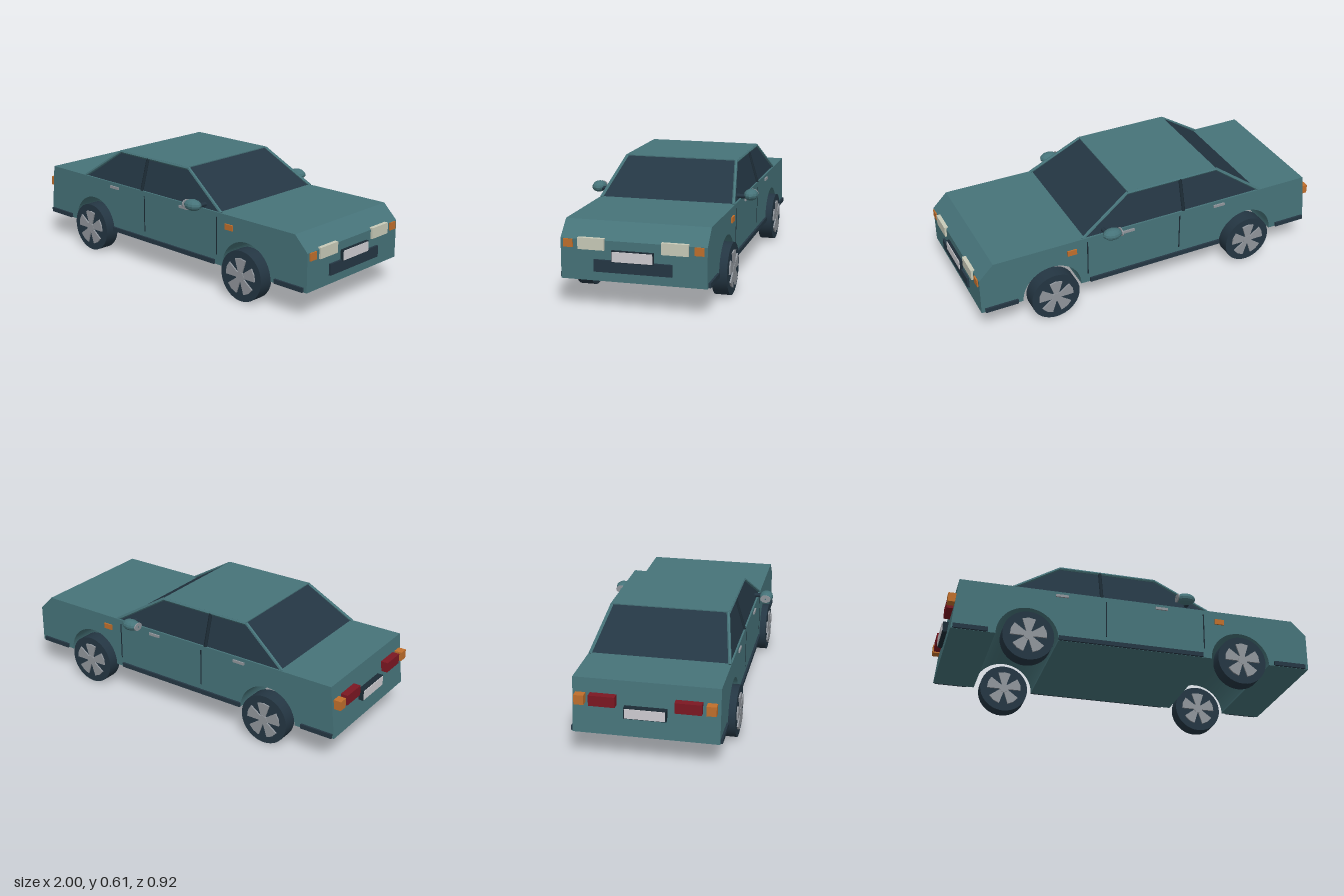
import * as THREE from 'three';

const mat = (name, color, extra = {}) => {
  const m = new THREE.MeshStandardMaterial({ color, ...extra });
  m.name = name;
  return m;
};

export function createModel() {
  const car = new THREE.Group();
  car.name = 'car';
  const paint = mat('teal paint', 0x467379, { flatShading: true });
  const dark = mat('dark glass and rubber', 0x243643);
  const seam = mat('dark seam', 0x1c2b35);
  const alloy = mat('alloy', 0x90959b);
  const amber = mat('amber', 0xc06f2c);
  const lamp = mat('headlight', 0xc8cab8);
  const plateWhite = mat('plate white', 0xcfcdd2);
  const red = mat('tail red', 0x7c1722);

  const add = (name, geo, material, parent = car) => {
    const m = new THREE.Mesh(geo, material);
    m.name = name;
    parent.add(m);
    return m;
  };
  // box given by its limits on each axis
  const box = (name, material, x0, x1, y0, y1, z0, z1) => {
    const m = add(name, new THREE.BoxGeometry(x1 - x0, y1 - y0, z1 - z0), material);
    m.position.set((x0 + x1) / 2, (y0 + y1) / 2, (z0 + z1) / 2);
    return m;
  };
  const bothSides = (name, material, x0, x1, y0, y1, z0, z1) => {
    box(name + 'Left', material, x0, x1, y0, y1, z0, z1);
    box(name + 'Right', material, x0, x1, y0, y1, -z1, -z0);
  };
  // round bar between two points
  const bar = (name, material, a, b, r) => {
    const p = new THREE.Vector3(...a), q = new THREE.Vector3(...b);
    const m = add(name, new THREE.CylinderGeometry(r, r, p.distanceTo(q), 6), material);
    m.position.copy(p).add(q).multiplyScalar(0.5);
    m.quaternion.setFromUnitVectors(new THREE.Vector3(0, 1, 0), q.sub(p).normalize());
  };

  // lower body: side profile with wheel arches, extruded across the car
  const s = new THREE.Shape();
  s.moveTo(-0.98, 0.142);
  for (const x of [-0.585, 0.585]) {
    s.lineTo(x - 0.165, 0.142);
    s.absarc(x, 0.142, 0.165, Math.PI, 0, true);
  }
  s.lineTo(0.98, 0.142);
  s.lineTo(0.98, 0.345);
  s.lineTo(0.9, 0.425);
  s.lineTo(-0.95, 0.425);
  s.closePath();
  const body = new THREE.ExtrudeGeometry(s, { depth: 0.736, bevelEnabled: false, curveSegments: 20 });
  body.translate(0, 0, -0.368);
  add('body', body, paint);

  // cabin: a box tapered towards the roof
  const cabin = new THREE.BoxGeometry(2, 2, 2);
  const p = cabin.attributes.position;
  for (let i = 0; i < p.count; i++) {
    const top = p.getY(i) > 0, front = p.getX(i) > 0, side = Math.sign(p.getZ(i));
    p.setXYZ(i, top ? (front ? 0.12 : -0.41) : (front ? 0.4 : -0.66), top ? 0.6 : 0.42, side * (top ? 0.308 : 0.36));
  }
  cabin.computeVertexNormals();
  add('cabinGlass', cabin, dark);
  box('roof', paint, -0.41, 0.12, 0.594, 0.605, -0.31, 0.31);

  for (const k of [1, -1]) {
    const side = k > 0 ? 'Left' : 'Right';
    bar('frontPillar' + side, paint, [0.12, 0.598, k * 0.308], [0.405, 0.423, k * 0.36], 0.009);
    bar('rearPillar' + side, paint, [-0.41, 0.598, k * 0.308], [-0.665, 0.423, k * 0.36], 0.009);
    bar('roofRail' + side, paint, [-0.41, 0.597, k * 0.31], [0.12, 0.597, k * 0.31], 0.009);
    bar('centrePillar' + side, seam, [-0.19, 0.597, k * 0.31], [-0.19, 0.423, k * 0.361], 0.01);

    // door mirror with stalk and glass
    bar('mirrorStalk' + side, dark, [0.285, 0.444, k * 0.345], [0.285, 0.446, k * 0.41], 0.012);
    const shell = add('mirrorShell' + side, new THREE.SphereGeometry(1, 12, 8), paint);
    shell.scale.set(0.053, 0.03, 0.038);
    shell.position.set(0.262, 0.45, k * 0.422);
    const glass = add('mirrorGlass' + side, new THREE.CylinderGeometry(1, 1, 1, 12), alloy);
    glass.rotation.z = Math.PI / 2;
    glass.scale.set(0.022, 0.006, 0.03);
    glass.position.set(0.214, 0.45, k * 0.422);
  }

  // side trim, seams, handles and markers
  for (const [a, b] of [[-0.97, -0.79], [-0.42, 0.37], [0.78, 0.96]])
    bothSides('sill', dark, a, b, 0.143, 0.167, 0.36, 0.379);
  for (const x of [-0.165, 0.38])
    bothSides('doorSeam', seam, x - 0.003, x + 0.003, 0.195, 0.4, 0.365, 0.3695);
  for (const x of [-0.407, 0.143])
    bothSides('doorHandle', alloy, x - 0.034, x + 0.034, 0.393, 0.407, 0.365, 0.376);
  bothSides('sideMarker', amber, 0.443, 0.496, 0.348, 0.378, 0.365, 0.376);

  // nose
  bothSides('headlight', lamp, 0.95, 0.991, 0.297, 0.355, 0.143, 0.278);
  bothSides('frontIndicator', amber, 0.95, 0.987, 0.303, 0.344, 0.305, 0.353);
  box('grille', dark, 0.97, 0.992, 0.19, 0.25, -0.197, 0.197);
  box('frontPlateFrame', seam, 0.97, 0.995, 0.243, 0.301, -0.106, 0.106);
  box('frontPlate', plateWhite, 0.994, 0.999, 0.247, 0.297, -0.101, 0.101);

  // tail
  bothSides('tailLight', red, -0.997, -0.955, 0.297, 0.352, 0.147, 0.28);
  bothSides('rearIndicator', amber, -1, -0.955, 0.3, 0.35, 0.302, 0.352);
  box('rearPlateFrame', seam, -0.994, -0.96, 0.243, 0.301, -0.106, 0.106);
  box('rearPlate', plateWhite, -0.998, -0.993, 0.247, 0.297, -0.101, 0.101);

  // wheels: tyre with five wedge spokes and a hub on both faces
  const spoke = new THREE.Shape();
  spoke.moveTo(0.018, -0.012);
  spoke.lineTo(0.09, -0.035);
  spoke.lineTo(0.097, 0);
  spoke.lineTo(0.09, 0.035);
  spoke.lineTo(0.018, 0.012);
  const spokeGeo = new THREE.ExtrudeGeometry(spoke, { depth: 0.096, bevelEnabled: false });
  spokeGeo.translate(0, 0, -0.048);
  const tyreGeo = new THREE.CylinderGeometry(0.135, 0.135, 0.08, 36).rotateX(Math.PI / 2);
  const hubGeo = new THREE.CylinderGeometry(0.026, 0.026, 0.1, 16).rotateX(Math.PI / 2);
  for (const x of [-0.585, 0.58]) for (const k of [1, -1]) {
    const wheel = new THREE.Group();
    wheel.name = (x > 0 ? 'front' : 'rear') + 'Wheel' + (k > 0 ? 'Left' : 'Right');
    wheel.position.set(x, 0.135, k * 0.36);
    car.add(wheel);
    add('tyre', tyreGeo, dark, wheel);
    add('hub', hubGeo, alloy, wheel);
    for (let i = 0; i < 5; i++)
      add('spoke', spokeGeo, alloy, wheel).rotation.z = Math.PI / 2 + i * Math.PI * 0.4;
  }
  return car;
}
